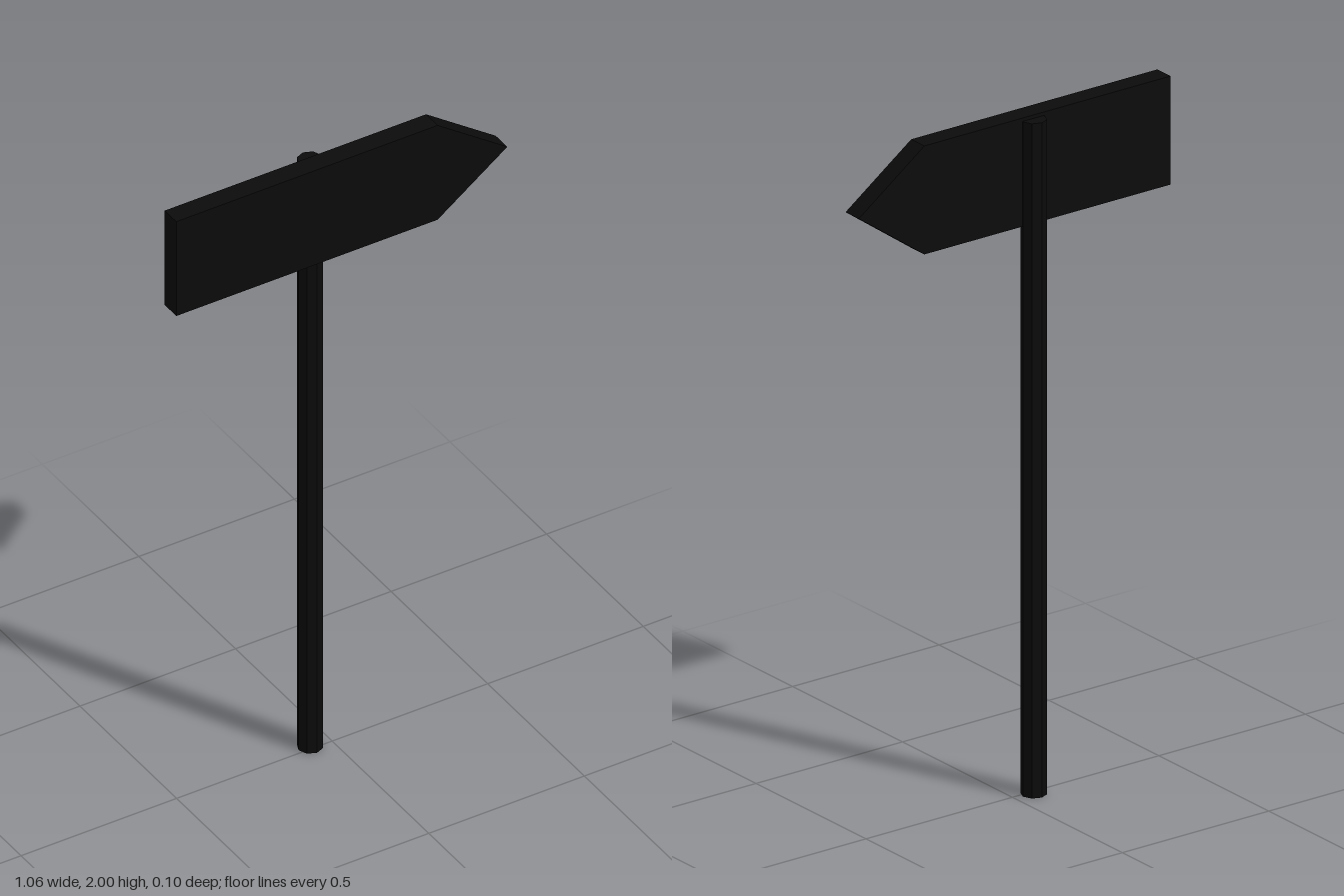
import * as THREE from 'three';

export function createModel() {
  const group = new THREE.Group();
  const black = new THREE.MeshStandardMaterial({ color: 0x0b0b0b });
  black.name = 'black';

  // Eight-sided post, with a corner facing straight back
  const radius = 0.037, postHeight = 1.99;
  const postGeometry = new THREE.CylinderGeometry(radius, radius, postHeight, 8).toNonIndexed();
  postGeometry.computeVertexNormals(); // flat facets
  const post = new THREE.Mesh(postGeometry, black);
  post.name = 'post';
  post.position.set(-0.063, postHeight / 2, -0.013);
  group.add(post);

  // Arrow board pointing to the model's left
  const outline = new THREE.Shape([
    [-0.532, 1.68], [0.308, 1.68], [0.532, 1.84], [0.308, 2], [-0.532, 2],
  ].map(([x, y]) => new THREE.Vector2(x, y)));
  const board = new THREE.Mesh(
    new THREE.ExtrudeGeometry(outline, { depth: 0.06, bevelEnabled: false }), black);
  board.name = 'arrowBoard';
  board.position.z = -0.01;
  group.add(board);

  return group;
}
